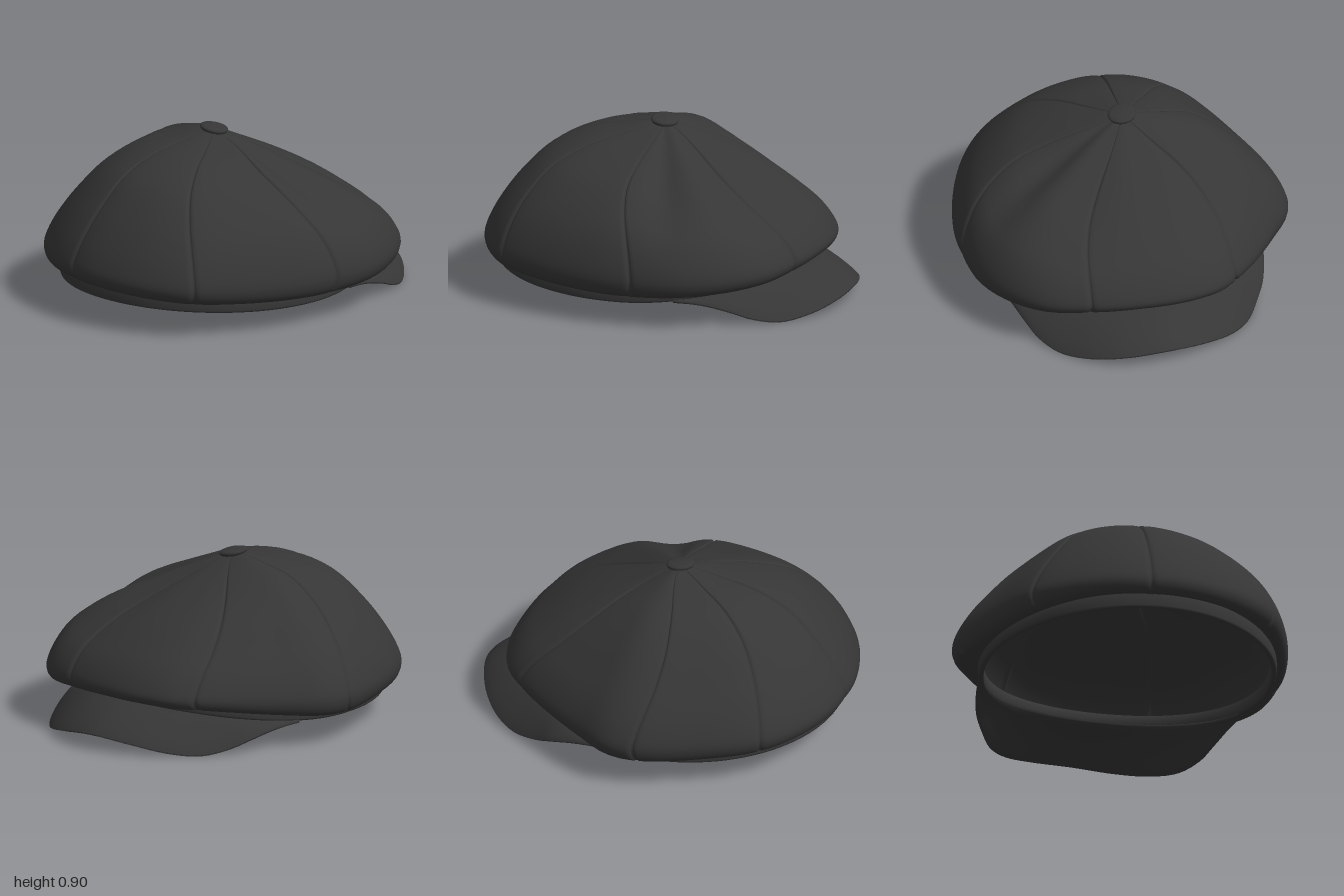
import * as THREE from 'three';

const V = (x, y, z) => new THREE.Vector3(x, y, z);
const CX = -0.02, CZ = 0.065; // crown centre, under the button
const TAU = Math.PI * 2;
const wrap = a => ((a % TAU) + TAU) % TAU;

// Widest outline of the crown as [x, z]
const OUTLINE = [[-0.08, -0.848], [0.2, -0.825], [0.4, -0.775], [0.6, -0.69], [0.72, -0.58], [0.82, -0.42],
  [0.875, -0.25], [0.885, 0], [0.865, 0.2], [0.765, 0.52], [0.62, 0.78], [0.48, 0.885], [0.3, 0.96], [0.05, 1],
  [-0.12, 0.985], [-0.3, 0.94], [-0.5, 0.83], [-0.68, 0.65], [-0.82, 0.3], [-0.89, 0], [-0.865, -0.16],
  [-0.75, -0.33], [-0.58, -0.55], [-0.42, -0.715], [-0.3, -0.8]];
// Outer ends of the seven panel seams
const SEAMS = [[-0.42, -0.715], [0.4, -0.775], [0.885, 0], [0.62, 0.78], [-0.12, 0.985], [-0.68, 0.65], [-0.89, 0]];
// Crown heights at fractions of the radius, on four sides
const F = [0, 0.1, 0.25, 0.45, 0.65, 0.8, 0.9, 0.97, 1];
const PROFILE = {
  left: [0.87, 0.85, 0.81, 0.745, 0.67, 0.575, 0.48, 0.36, 0.25],
  back: [0.88, 0.87, 0.845, 0.805, 0.715, 0.58, 0.46, 0.35, 0.27],
  right: [0.88, 0.875, 0.85, 0.795, 0.67, 0.535, 0.43, 0.33, 0.25],
  front: [0.87, 0.845, 0.785, 0.7, 0.6, 0.505, 0.43, 0.35, 0.29],
};

// Blend four side values (+x, +z, -x, -z) by direction
function blend(a, px, pz, nx, nz) {
  const c = Math.cos(a), s = Math.sin(a);
  return c * c * (c > 0 ? px : nx) + s * s * (s > 0 ? pz : nz);
}

// Soft dents in the cloth of the front left panel
function dent(a, f) {
  const b = wrap(a + Math.PI) - Math.PI;
  const bump = (mid, width) => Math.exp(-(((b - mid) / width) ** 2));
  return (0.07 * bump(-0.28, 0.2) + 0.045 * bump(-0.9, 0.3)) * Math.sin(Math.PI * f ** 1.5);
}

// Outline radius for an angle around the crown centre
const polar = new THREE.CatmullRomCurve3(OUTLINE.map(([x, z]) => V(x, 0, z)), true).getPoints(500)
  .map(p => [wrap(Math.atan2(p.z - CZ, p.x - CX)), Math.hypot(p.x - CX, p.z - CZ)])
  .sort((p, q) => p[0] - q[0]);
function radius(a) {
  a = wrap(a);
  const i = polar.findIndex(p => p[0] > a);
  if (i < 1) return polar[0][1];
  const [a0, r0] = polar[i - 1], [a1, r1] = polar[i];
  return r0 + (r1 - r0) * (a - a0) / (a1 - a0 || 1);
}

const hemY = a => blend(a, 0.155, 0.2, 0.155, 0.24);
const bandY = a => blend(a, 0.11, 0.135, 0.115, 0.215);
const bandPoint = (a, y, inset = 0) =>
  V(0.02 + (0.78 - inset) * Math.cos(a), y, 0.1 + (0.835 - inset) * Math.sin(a));

// Skin a list of cross-sections that all have the same number of points
function loft(sections, closeSections, closeLoop) {
  const n = sections[0].length, m = sections.length, index = [];
  for (let i = 0; i < (closeSections ? m : m - 1); i++) {
    for (let j = 0; j < (closeLoop ? n : n - 1); j++) {
      const a = i * n + j, b = i * n + (j + 1) % n;
      const k = ((i + 1) % m) * n, c = k + j, d = k + (j + 1) % n;
      index.push(a, c, b, b, c, d);
    }
  }
  const g = new THREE.BufferGeometry().setFromPoints(sections.flat());
  g.setIndex(index);
  g.computeVertexNormals();
  return g;
}

// One line of the crown from the button, over the rim and under to the band
function crownLine(a, groove) {
  const bow = (0.16 + 0.14 * Math.max(0, -Math.sin(a))) * Math.cos(a);
  const at = (f, y) => {
    const b = a + bow * Math.sin(Math.PI * f);
    const r = radius(b) * f;
    return V(CX + r * Math.cos(b), y(b), CZ + r * Math.sin(b));
  };
  const pts = F.map((f, i) => at(f, b =>
    blend(b, PROFILE.left[i], PROFILE.back[i], PROFILE.right[i], PROFILE.front[i]) - dent(b, f)));
  const rim = pts[pts.length - 1].y, hem = hemY(a);
  pts.push(at(0.985, () => hem + (rim - hem) * 0.35), at(0.95, () => hem + 0.005));
  pts.push(bandPoint(a, hem + 0.02, 0.005));
  const centre = V(CX, 0.3, CZ);
  const line = new THREE.CatmullRomCurve3(pts).getPoints(44);
  // sink the seam into the cloth
  line.forEach((p, i) => {
    const k = Math.min(1, i / 12) * Math.min(1, (44 - i) / 8);
    p.addScaledVector(centre.clone().sub(p).normalize(), groove * k);
  });
  return line;
}

function crownGeometry() {
  const angles = SEAMS.map(([x, z]) => wrap(Math.atan2(z - CZ, x - CX))).sort((p, q) => p - q);
  const lines = [];
  angles.forEach((a0, i) => {
    const span = wrap(angles[(i + 1) % angles.length] - a0);
    const offs = [0, 0.009, 0.02];
    for (let k = 0; k <= 14; k++) offs.push(0.04 + (span - 0.08) * k / 14);
    offs.push(span - 0.02, span - 0.009);
    for (const o of offs) {
      const d = Math.min(o, span - o);
      lines.push(crownLine(a0 + o, 0.012 * Math.max(0, 1 - d / 0.02) + 0.004 * Math.exp(-d / 0.06)));
    }
  });
  return loft(lines, true, false);
}

// Headband ring with softly rounded lower edge
function bandGeometry() {
  const rings = [];
  for (let i = 0; i < 96; i++) {
    const a = TAU * i / 96, lo = bandY(a), hi = hemY(a) + 0.03;
    rings.push([[0, hi], [0, lo + 0.012], [0.003, lo + 0.003], [0.01, lo], [0.02, lo], [0.027, lo + 0.003],
      [0.03, lo + 0.012], [0.03, hi]].map(([inset, y]) => bandPoint(a, y, inset)));
  }
  return loft(rings, true, true);
}

// Curved peak growing out of the band's lower edge, dipping at both corners
function visorGeometry() {
  const edge = new THREE.CatmullRomCurve3([[-0.709, 0.126, -0.2], [-0.672, 0.107, -0.36], [-0.625, 0.07, -0.5],
    [-0.565, 0.03, -0.6], [-0.48, 0.006, -0.73], [-0.36, 0.022, -0.85], [-0.18, 0.06, -0.95], [0.05, 0.085, -0.999],
    [0.27, 0.06, -0.96], [0.43, 0.027, -0.87], [0.56, 0.006, -0.74], [0.64, 0.03, -0.61], [0.68, 0.07, -0.5],
    [0.715, 0.107, -0.36], [0.749, 0.126, -0.2]].map(p => V(...p)));
  const sections = [], N = 64, M = 8;
  for (let i = 0; i <= N; i++) {
    const u = i / N, a = 3.51 + 2.4 * u;
    const inner = bandPoint(a, bandY(a) + 0.005, 0.029), outer = edge.getPoint(u);
    const top = [], bottom = [];
    for (let j = 0; j <= M; j++) {
      const t = j / M, p = inner.clone().lerp(outer, t);
      p.y += 0.025 * Math.sin(Math.PI * t) * Math.sin(Math.PI * u);
      const h = j === M ? 0.004 : 0.009;
      top.push(p.clone().setY(p.y + h));
      bottom.unshift(p.clone().setY(p.y - h));
    }
    sections.push([...top, ...bottom]);
  }
  return loft(sections, false, true);
}

export function createModel() {
  const cloth = new THREE.MeshStandardMaterial({ color: 0x363636, side: THREE.DoubleSide });
  cloth.name = 'charcoal cloth';
  const cap = new THREE.Group();
  cap.name = 'flatCap';
  const add = (name, geometry) => {
    const mesh = new THREE.Mesh(geometry, cloth);
    mesh.name = name;
    cap.add(mesh);
    return mesh;
  };

  add('crown', crownGeometry());
  add('headband', bandGeometry());
  add('visor', visorGeometry());

  // Covered button on top
  const profile = [[0, -0.015], [0.06, -0.015], [0.071, -0.01], [0.075, 0], [0.071, 0.008], [0.055, 0.013], [0, 0.016]];
  const button = add('button', new THREE.LatheGeometry(profile.map(p => new THREE.Vector2(...p)), 32));
  button.position.set(CX, 0.88, CZ);
  button.rotation.set(-0.1, 0, -0.15);
  return cap;
}
